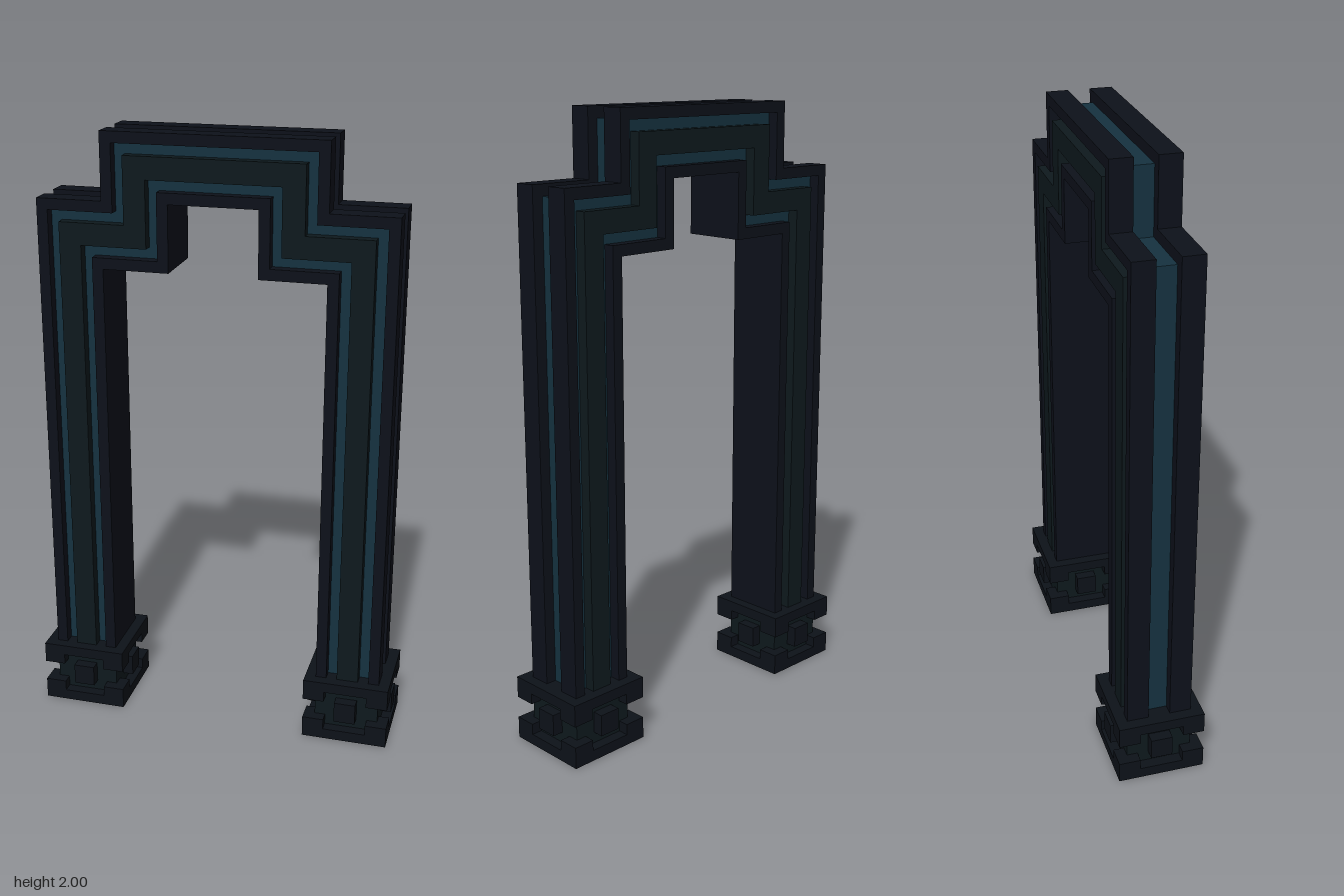
import * as THREE from 'three';

const U = 2 / 56; // one block
const mat = (color) => new THREE.MeshStandardMaterial({ color, flatShading: true });

export function createModel() {
  const model = new THREE.Group();
  const rim = mat(0x0d111a), glow = mat(0x153240), inlay = mat(0x0e191d), stone = mat(0x0d1219);

  // Right half of the stepped outline, inset by d blocks, then mirrored
  const outline = (d) => {
    const half = [[16 - d, 6], [16 - d, 50 - d], [10 - d, 50 - d], [10 - d, 56 - d]];
    return [...half, ...half.map(([x, y]) => [-x, y]).reverse()];
  };

  // Stepped arch band between two insets, from depth z0 to z1
  function band(name, d0, d1, z0, z1, material) {
    const pts = [...outline(d0), ...outline(d1).reverse()];
    const shape = new THREE.Shape(pts.map(([x, y]) => new THREE.Vector2(x * U, y * U)));
    const geo = new THREE.ExtrudeGeometry(shape, { depth: (z1 - z0) * U, bevelEnabled: false });
    geo.translate(0, 0, z0 * U);
    const mesh = new THREE.Mesh(geo, material);
    mesh.name = name;
    model.add(mesh);
  }

  band('archCore', 1, 5, -2, 2, glow);
  band('innerRim', 5, 6, -3, 3, rim);
  band('outerRimFront', 0, 1, 1, 3, rim);
  band('outerRimBack', 0, 1, -3, -1, rim);
  band('inlayFront', 2, 4, 2, 3, inlay);
  band('inlayBack', 2, 4, -3, -2, inlay);

  // Block given by size and centre, in block units
  function block(parent, name, [w, h, d], [x, y, z], material) {
    const mesh = new THREE.Mesh(new THREE.BoxGeometry(w * U, h * U, d * U), material);
    mesh.position.set(x * U, y * U, z * U);
    mesh.name = name;
    parent.add(mesh);
  }

  // Feet: waisted blocks with corner pads and a stud on each side
  for (const side of [-1, 1]) {
    const foot = new THREE.Group();
    foot.name = side > 0 ? 'leftFoot' : 'rightFoot';
    foot.position.x = side * 13 * U;
    block(foot, 'footCore', [6, 4, 6], [0, 3, 0], inlay);
    for (const [plateY, padY] of [[0.5, 1.5], [5.5, 4.5]]) {
      block(foot, 'footPlate', [8, 1, 8], [0, plateY, 0], stone);
      for (const x of [-3, 3]) for (const z of [-3, 3])
        block(foot, 'cornerPad', [2, 1, 2], [x, padY, z], stone);
    }
    for (const s of [-1, 1]) {
      block(foot, 'studZ', [2, 2, 1], [0, 3, s * 3.5], stone);
      block(foot, 'studX', [1, 2, 2], [s * 3.5, 3, 0], stone);
    }
    model.add(foot);
  }
  return model;
}
